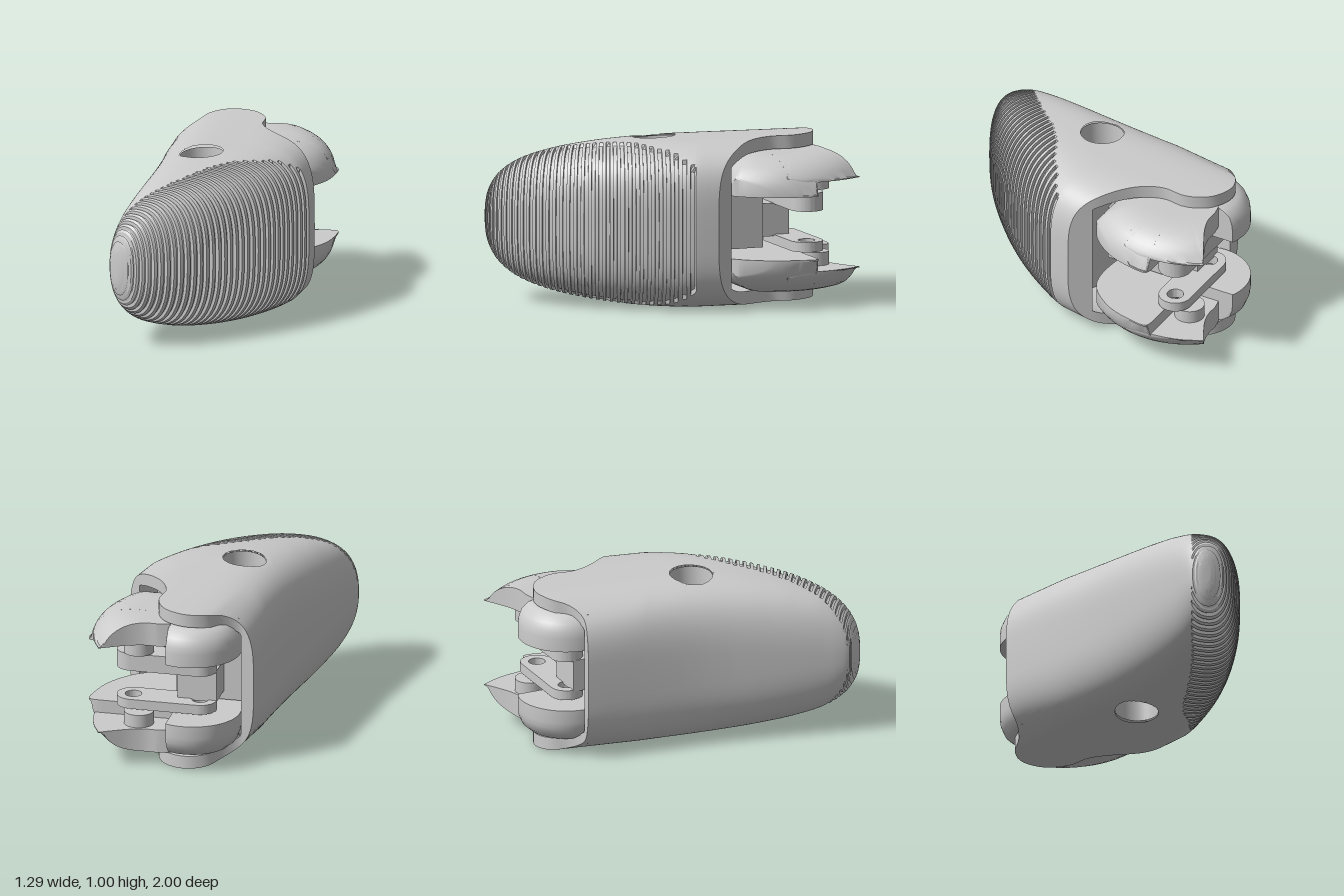
import * as THREE from 'three';
import { toCreasedNormals } from 'three/addons/utils/BufferGeometryUtils.js';

const V = (x, y, z) => new THREE.Vector3(x, y, z);
const mat = new THREE.MeshStandardMaterial({ color: 0xcccccc, side: THREE.DoubleSide });
const clamp = THREE.MathUtils.clamp;

function part(name, geometry, x = 0, y = 0, z = 0) {
  const m = new THREE.Mesh(geometry, mat);
  m.name = name;
  m.position.set(x, y, z);
  return m;
}

// Skin a list of closed rings; triangles that lie wholly on "cut" points are left out
function skin(rows, isCut = () => false, crease = 0.55) {
  const n = rows[0].length, pos = [], idx = [], cut = [];
  rows.forEach(r => r.forEach(p => { cut.push(isCut(p)); pos.push(p.x, p.y, p.z); }));
  const tri = (a, b, c) => { if (!(cut[a] && cut[b] && cut[c])) idx.push(a, b, c); };
  for (let i = 0; i < rows.length - 1; i++) {
    for (let j = 0; j < n; j++) {
      const k = (j + 1) % n, a = i * n + j, b = i * n + k;
      tri(a, b, a + n);
      tri(b, b + n, a + n);
    }
  }
  const g = new THREE.BufferGeometry();
  g.setAttribute('position', new THREE.Float32BufferAttribute(pos, 3));
  g.setIndex(idx);
  return toCreasedNormals(g, crease);
}

const curve = pts => new THREE.CatmullRomCurve3(pts.map(p => V(...p)));

// Flat side of the shell: x, start of the ribbed pad across the section, z
const leftEdge = curve([[-.38, 1, -.73], [-.41, .95, -.4], [-.445, .84, -.1], [-.485, .64, .13], [-.53, .55, .33],
  [-.575, .46, .52], [-.615, .33, .69], [-.64, .18, .8], [-.645, 0, .87], [-.63, -.1, .92], [-.605, -.1, .95]]);
// Pad side of the shell: x, half height of the section, z
const rightEdge = curve([[.535, .5, -.08], [.51, .5, .05], [.43, .5, .2], [.285, .487, .42], [.105, .46, .63],
  [-.1, .415, .815], [-.29, .35, .93], [-.42, .27, .985], [-.51, .185, .995], [-.575, .105, .975], [-.605, 0, .95]]);
// Outline of the open back end, with the hinge lobe
const backEdge = curve([[-.38, 0, -.73], [-.29, 0, -.72], [-.2, 0, -.77], [-.12, 0, -.86], [0, 0, -.9], [.14, 0, -.84],
  [.21, 0, -.7], [.2, 0, -.55], [.26, 0, -.41], [.43, 0, -.22], [.535, 0, -.08]]);

const hole = { x: -.135, z: .065, r: .13 };
const SIDES = 128;

// One ring of the shell at position a (0 back, 1 tip)
function ring(a, depth = 0, inner = false) {
  const t = rightEdge.getUtoTmapping(a);
  const blend = clamp(t * 10, 0, 1), tf = Math.max(t, .1);
  const L = leftEdge.getPoint(tf), R = rightEdge.getPoint(tf);
  const H = Math.max(0, R.y), n = 2 + 2 * Math.pow(1 - t, 1.5);
  const mid = V((L.x + R.x) / 2, .5, (L.z + R.z) / 2);
  const row = [];
  for (let j = 0; j < SIDES; j++) {
    const f = j / SIDES * Math.PI * 2, c = Math.cos(f);
    let u = .5 + .5 * c;
    let y = H * Math.sign(Math.sin(f)) * Math.pow(Math.max(0, 1 - Math.pow(Math.abs(c), n)), 1 / n);
    if (inner) { u = clamp(u, .055, .9); y *= .84; }
    const p = V(THREE.MathUtils.lerp(L.x, R.x, u), .5 + y, THREE.MathUtils.lerp(L.z, R.z, u));
    if (blend < 1) {
      const b = backEdge.getPointAt(u);
      p.x += (b.x - p.x) * (1 - blend);
      p.z += (b.z - p.z) * (1 - blend);
    }
    if (depth && u > L.y && H > 0) {
      const d = p.clone().sub(mid);
      p.addScaledVector(d, -Math.min(depth / d.length(), .2));
    }
    // Snap the points around the screw hole to its circle
    const dx = p.x - hole.x, dz = p.z - hole.z, d = Math.hypot(dx, dz);
    if (!inner && d < hole.r + .017) {
      p.x = hole.x + dx / (d || 1) * hole.r;
      p.z = hole.z + dz / (d || 1) * hole.r;
      p.cut = true;
    }
    row.push(p);
  }
  return row;
}

function shellGeometry() {
  const rows = [.1, .075, .05, .025, 0].map(a => ring(a, 0, true));
  const centre = rows[0].reduce((s, p) => s.add(p), V(0, 0, 0)).divideScalar(SIDES);
  rows.unshift(rows[0].map(() => centre.clone()));
  for (const a of [0, .02, .04, .06, .075]) rows.push(ring(a));
  // Grooves and ribs of the pad
  const RIBS = 36;
  for (let k = 0; k < RIBS; k++) {
    for (const [s, d] of [[.02, .02], [.48, .02], [.52, 0], [.98, 0]]) {
      rows.push(ring(.08 + .905 * (k + s) / RIBS, d));
    }
  }
  rows.push(ring(.99), ring(1));
  return skin(rows, p => p.cut === true);
}

// Through hole with a wide recess at both ends, its rims following the curved shell
function boreGeometry() {
  const profile = [[.13, .49], [.13, .3], [.065, .3], [.065, -.3], [.13, -.3], [.13, -.49]];
  const g = new THREE.LatheGeometry(profile.map(p => new THREE.Vector2(...p)), 48);
  const p = g.attributes.position;
  for (let i = 0; i < p.count; i++) {
    const y = p.getY(i);
    if (Math.abs(y) > .4) p.setY(i, y - Math.sign(y) * .28 * (p.getX(i) + hole.x) ** 2);
  }
  return toCreasedNormals(g, .5);
}

// Height above mid level of the domed joint cover
function domeHeight(x, z) {
  const s = clamp(Math.max((Math.hypot(x - .03, z + .62) - .3) / .3, (z + .5) / .3), 0, 1);
  return .2 + .215 * Math.sqrt(1 - Math.pow(s, 2.5));
}

// Solid with a flat bottom under the dome, from an outline and a point inside it
function domed(outline, cx, cz, bottom) {
  const at = (k, flat) => outline.map(p => {
    const x = cx + (p.x - cx) * k, z = cz + (p.z - cz) * k;
    return V(x, flat ? bottom : Math.max(domeHeight(x, z), bottom + .006), z);
  });
  const rows = [0, .2, .4, .55, .67, .77, .85, .91, .96, .985, 1].map(k => at(k, false));
  rows.push(at(1, true), at(0, true));
  return skin(rows);
}

function jointCover() {
  const g = new THREE.Group();
  const body = curve([[.61, 0, -.69], [.643, 0, -.675], [.635, 0, -.56], [.575, 0, -.38], [.42, 0, -.21],
    [.2, 0, -.18], [-.08, 0, -.26], [-.25, 0, -.43], [-.28, 0, -.69]]).getPoints(64);
  for (let i = 1; i < 16; i++) body.push(V(-.28 + .89 * i / 16, 0, -.69));
  g.add(part('coverBody', domed(body, .14, -.55, .19)));

  // Raised fin behind the body, with a concave back edge
  const fin = curve([[.51, 0, -1], [.57, 0, -.87], [.6, 0, -.74], [.61, 0, -.6], [.59, 0, -.5]]).getPoints(20);
  for (let i = 1; i <= 8; i++) fin.push(V(.59 - .49 * i / 8, 0, -.5));
  fin.push(...curve([[.1, 0, -.7], [.1, 0, -.78], [.1, 0, -.87]]).getPoints(4));
  fin.push(...curve([[.17, 0, -.885], [.25, 0, -.885], [.34, 0, -.91], [.43, 0, -.955], [.5, 0, -.995]]).getPoints(16));
  g.add(part('fin', domed(fin, .2, -.7, .27)));

  // Rounded knuckle, cut off flat beside the fin
  const dome = [[0, .19], [.29, .19], [.29, .27], [.285, .31], [.265, .36], [.225, .395], [.17, .413], [0, .415]];
  const knuckle = new THREE.LatheGeometry(dome.map(p => new THREE.Vector2(...p)), 64);
  const p = knuckle.attributes.position;
  for (let i = 0; i < p.count; i++) p.setX(i, Math.min(p.getX(i), .105));
  g.add(part('knuckle', toCreasedNormals(knuckle, .55), 0, 0, -.7));

  g.add(part('boss', new THREE.CylinderGeometry(.09, .09, .09, 32), .31, .235, -.79));
  return g;
}

// Flat link plate with rounded ends and two pin holes
function linkPlate(h) {
  const x0 = -.05, x1 = .36, r = .1;
  const s = new THREE.Shape();
  s.absarc(x1, 0, r, -Math.PI / 2, Math.PI / 2, false);
  s.absarc(x0, 0, r, Math.PI / 2, Math.PI * 1.5, false);
  s.closePath();
  for (const x of [x0, x1]) s.holes.push(new THREE.Path().absarc(x, 0, .05, 0, Math.PI * 2, true));
  const g = new THREE.ExtrudeGeometry(s, { depth: h, bevelEnabled: false, curveSegments: 20 });
  return toCreasedNormals(g.rotateX(-Math.PI / 2), .5);
}

export function createModel() {
  const model = new THREE.Group();
  model.name = 'fingertip';

  model.add(part('shell', shellGeometry()));
  model.add(part('screwHole', boreGeometry(), hole.x, .5, hole.z));

  // Joint covers, mirrored about mid height
  for (const side of [1, -1]) {
    const cover = jointCover();
    cover.name = side > 0 ? 'upperJointCover' : 'lowerJointCover';
    cover.position.y = .5;
    cover.scale.y = side;
    model.add(cover);
  }

  // Link between the covers
  model.add(part('upperLinkPlate', linkPlate(.11), 0, .57, -.72));
  model.add(part('lowerLinkPlate', linkPlate(.06), 0, .325, -.72));
  model.add(part('linkWeb', new THREE.BoxGeometry(.24, .2, .2), -.03, .475, -.62));
  model.add(part('linkMount', new THREE.BoxGeometry(.42, .36, .4), -.07, .5, -.33));
  return model;
}
